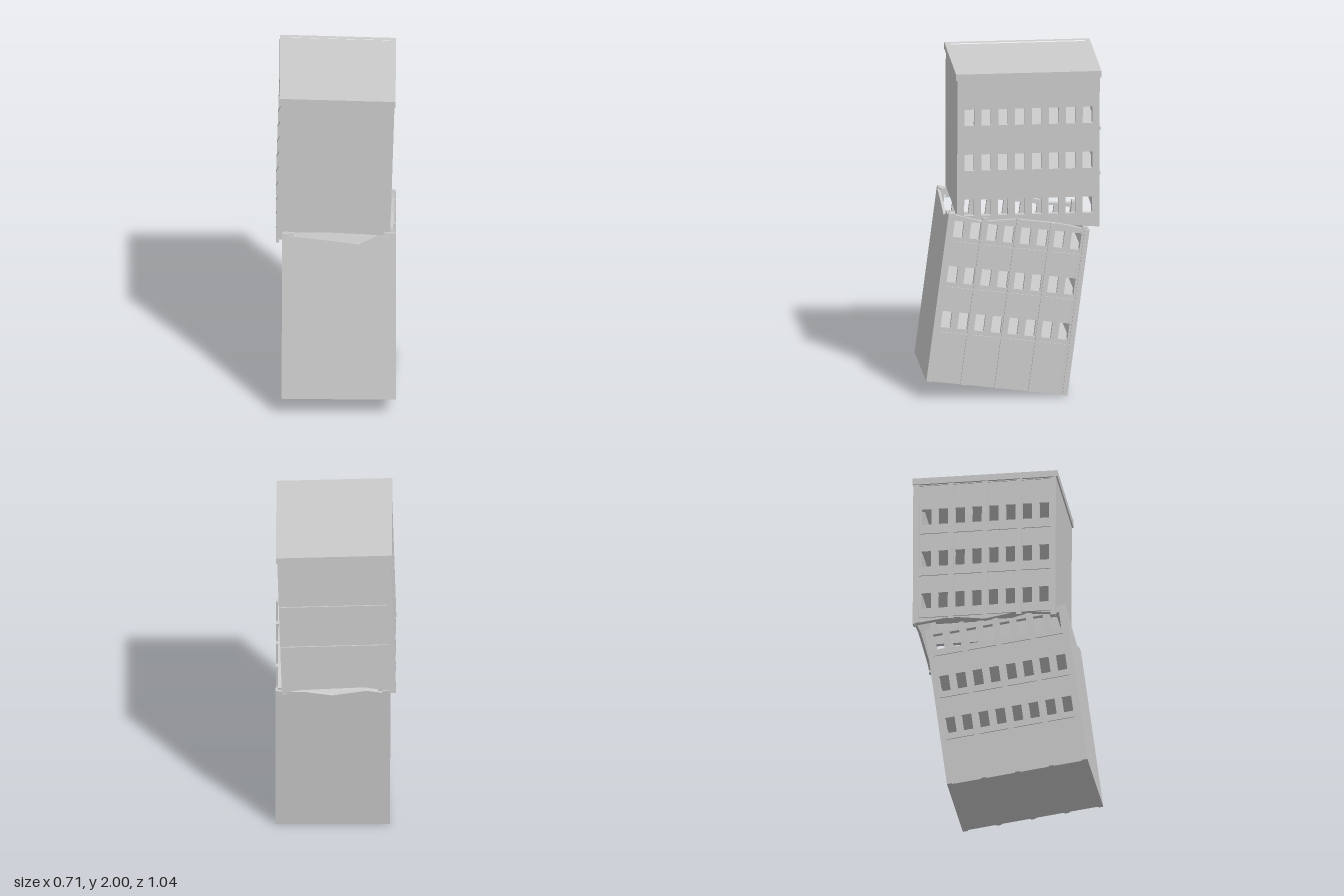
import * as THREE from 'three';

const mat = new THREE.MeshStandardMaterial({ color: 0xcccccc, flatShading: true });
const HALF_Z = 0.423, WALL = 0.03, FLOOR = 0.277;
const PILASTERS = [-0.408, -0.204, 0, 0.204, 0.408];

function add(group, name, geometry, x = 0, y = 0, z = 0) {
  const mesh = new THREE.Mesh(geometry, mat);
  mesh.name = name;
  mesh.position.set(x, y, z);
  group.add(mesh);
  return mesh;
}

// box given by its min and max corners
function block(group, name, x0, x1, y0, y1, z0, z1) {
  return add(group, name, new THREE.BoxGeometry(x1 - x0, y1 - y0, z1 - z0),
    (x0 + x1) / 2, (y0 + y1) / 2, (z0 + z1) / 2);
}

function rectPath(cx, cy, w, h) {
  return new THREE.Path([[-1, -1], [-1, 1], [1, 1], [1, -1]].map(
    ([a, b]) => new THREE.Vector2(cx + a * w / 2, cy + b * h / 2)));
}

// upright slab between a lower and an upper outline, both running from - to +
function panel(low, high, depth, rows = []) {
  const shape = new THREE.Shape([...low, ...[...high].reverse()].map(p => new THREE.Vector2(...p)));
  for (const y of rows)
    for (let i = 0; i < 8; i++) shape.holes.push(rectPath((i - 3.5) * 0.1004, y, 0.058, 0.1));
  return new THREE.ExtrudeGeometry(shape, { depth, bevelEnabled: false });
}

// windowed wall facing +x or -x
function sideWall(group, name, side, outer, low, high, rows) {
  const wall = add(group, name, panel(low, high, WALL, rows), side > 0 ? outer : -outer + WALL);
  wall.rotation.y = -Math.PI / 2;
}

// pilasters and sill bands on the outside of a side wall
function sideTrim(group, side, face, y0, tops, bandYs) {
  const inner = face - 0.005;
  const span = out => [side * inner, side * out].sort((a, b) => a - b);
  PILASTERS.forEach((z, i) => {
    const [lo, hi] = Array.isArray(tops) ? [y0, tops[i]] : [y0 + (i % 2) * 0.015, tops];
    block(group, 'pilaster', ...span(face + 0.013), lo, hi, z - 0.015, z + 0.015);
  });
  for (const y of bandYs)
    block(group, 'sillBand', ...span(face + 0.007), y - 0.008, y + 0.008, -HALF_Z, HALF_Z);
}

function lowerBlock() {
  const g = new THREE.Group();
  g.name = 'lowerBlock';
  const half = 0.325;
  const rows = [0, 1, 2].map(i => 0.385 + i * FLOOR);
  const bands = rows.map(y => y - 0.085);
  const base = [[-HALF_Z, 0], [HALF_Z, 0]];

  // side walls with a broken top
  const breaks = {
    1: [[-HALF_Z, 1.015], [-0.23, 1.035], [0.015, 1.035], [0.13, 1.015], [0.22, 1.0], [0.33, 1.015], [HALF_Z, 1.03]],
    [-1]: [[-HALF_Z, 1.02], [-0.25, 1.0], [-0.08, 1.03], [0.1, 1.005], [0.27, 1.03], [HALF_Z, 1.03]]
  };
  for (const s of [1, -1]) {
    sideWall(g, 'lowerSideWall', s, half, base, breaks[s], rows);
    sideTrim(g, s, half, 0, [1.02, 1.035, 1.04, 1.025, 1.03], bands);
  }

  // front and back walls reach the outer faces of the pilasters
  const e = 0.338, foot = [[-e, 0], [e, 0]];
  add(g, 'lowerFrontWall', panel(foot,
    [[-e, 1.022], [-0.1, 0.995], [0.125, 0.965], [0.245, 1.02], [e, 0.997]], 0.015), 0, 0, HALF_Z - 0.015);
  add(g, 'lowerBackWall', panel(foot,
    [[-e, 1.0], [-0.2, 1.02], [0, 0.985], [0.16, 1.01], [e, 1.015]], 0.015), 0, 0, -HALF_Z);

  // bottom, floor slabs and broken corner columns
  block(g, 'bottomSlab', -half, half, 0, 0.02, -HALF_Z, HALF_Z);
  for (const y of bands) block(g, 'floorSlab', -0.31, 0.31, y - 0.01, y + 0.01, -0.415, 0.415);
  for (const sx of [-1, 1]) for (const sz of [-1, 1])
    add(g, 'cornerColumn', new THREE.BoxGeometry(0.06, 1.03, 0.03), sx * 0.298, 0.515, sz * 0.395);

  g.position.set(0.015, 0.055, 0.1);
  g.rotation.x = -0.13;
  return g;
}

function upperBlock() {
  const g = new THREE.Group();
  g.name = 'upperBlock';
  const left = 0.337, right = 0.325, top = 0.93;
  const rows = [0, 1, 2].map(i => 0.136 + i * FLOOR);
  const bands = rows.map(y => y - 0.085);
  const head = [[-HALF_Z, top], [HALF_Z, top]];

  // plain windowed wall on one side, pilastered wall on the other
  sideWall(g, 'upperPlainWall', 1, left,
    [[-HALF_Z, 0], [-0.28, 0.01], [-0.1, 0.04], [0.1, 0.03], [0.28, 0.06], [HALF_Z, 0.07]], head, rows);
  sideWall(g, 'upperPilasterWall', -1, right,
    [[-HALF_Z, 0.01], [-0.2, 0.04], [0, 0.015], [0.2, 0.05], [HALF_Z, 0.03]], head, rows.map(y => y + 0.02));
  sideTrim(g, -1, right, 0.01, top, bands);

  // front and back walls with a broken bottom
  add(g, 'upperFrontWall', panel(
    [[-0.338, 0.03], [-0.29, 0.08], [0, 0.085], [0.2, 0.08], [left, 0.07]],
    [[-0.338, top], [left, top]], 0.015), 0, 0, HALF_Z - 0.015);
  add(g, 'upperBackWall', panel(
    [[-0.338, 0.005], [-0.15, 0.04], [0.1, 0.035], [0.25, 0.03], [left, 0.01]],
    [[-0.338, top], [left, top]], 0.015), 0, 0, -HALF_Z);

  // back bands and corner post
  for (const y of bands.slice(1))
    block(g, 'backBand', -0.3, left, y - 0.008, y + 0.008, -HALF_Z - 0.007, -HALF_Z + 0.005);
  block(g, 'backCornerPost', -0.338, -0.3, 0, top, -HALF_Z - 0.006, -HALF_Z + 0.005);

  // floor slabs and corner columns
  for (const y of bands.slice(1))
    block(g, 'floorSlab', -0.31, 0.32, y - 0.01, y + 0.01, -0.415, 0.415);
  for (const sx of [-1, 1]) for (const sz of [-1, 1])
    block(g, 'cornerColumn', sx * 0.295 - 0.025, sx * 0.295 + 0.025, 0.07, top, sz * 0.395 - 0.015, sz * 0.395 + 0.015);

  // roof with a raised rim
  block(g, 'roofSlab', -0.33, 0.33, 0.915, 0.948, -0.42, 0.42);
  const rim = new THREE.Shape(rectPath(0, 0, 0.686, 0.864).getPoints());
  rim.holes.push(rectPath(0, 0, 0.622, 0.798));
  add(g, 'roofRim', new THREE.ExtrudeGeometry(rim, { depth: 0.04, bevelEnabled: false }), 0, 0.96, 0)
    .rotation.x = Math.PI / 2;

  g.position.set(-0.021, 1.03, -0.09);
  g.rotation.z = -0.03;
  return g;
}

export function createModel() {
  const model = new THREE.Group();
  model.name = 'brokenBuilding';
  model.add(lowerBlock(), upperBlock());
  return model;
}
